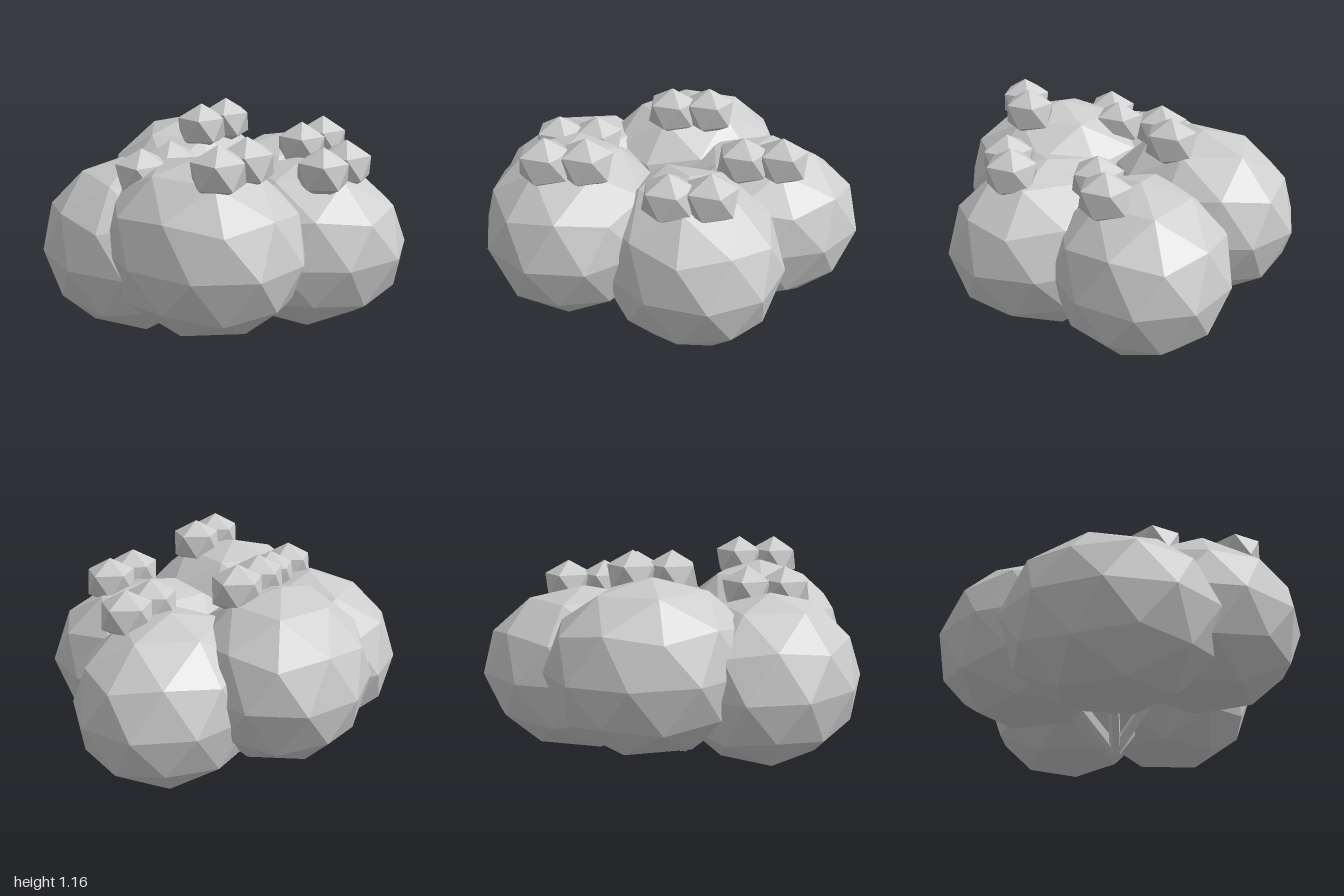
import * as THREE from 'three';

// Icosphere with a vertex pointing straight up
function icosphere(detail) {
  const g = new THREE.IcosahedronGeometry(1, detail);
  g.rotateX(-Math.atan((1 + Math.sqrt(5)) / 2));
  g.rotateY(Math.PI / 2);
  return g;
}

export function createModel() {
  const model = new THREE.Group();
  model.name = 'bush';
  const grey = new THREE.MeshStandardMaterial({ color: 0xcccccc, flatShading: true });
  grey.name = 'light grey';

  const clumpGeometry = icosphere(1);
  const budGeometry = icosphere(0);
  const up = new THREE.Vector3(0, 1, 0);
  const root = new THREE.Vector3(-0.07, 0.02, -0.017);

  const add = (name, geometry, position) => {
    const mesh = new THREE.Mesh(geometry, grey);
    mesh.name = name;
    mesh.position.copy(position);
    model.add(mesh);
    return mesh;
  };

  for (let i = 0; i < 5; i++) {
    const angle = (i * Math.PI * 2) / 5;
    const centre = new THREE.Vector3(
      root.x + 0.536 * Math.cos(angle),
      i % 2 ? 0.594 : 0.49,
      root.z - 0.43 * Math.sin(angle)
    );

    // Foliage clump, stretched and turned a little further each time
    const clump = add('foliageClump', clumpGeometry, centre);
    clump.scale.set(0.557, 0.449, 0.47);
    clump.rotation.y = i * 0.5;

    // Pair of buds on top of the clump
    for (const side of [-1, 1]) {
      const offset = new THREE.Vector3(side * 0.1, 0.428, 0.195);
      add('bud', budGeometry, centre.clone().add(offset)).scale.set(0.147, 0.132, 0.146);
    }

    // Stem from the root to the clump
    const direction = centre.clone().sub(root);
    const stemGeometry = new THREE.CylinderGeometry(0.025, 0.032, direction.length(), 5);
    const stem = add('stem', stemGeometry, root.clone().add(centre).multiplyScalar(0.5));
    stem.quaternion.setFromUnitVectors(up, direction.normalize());
  }
  return model;
}
